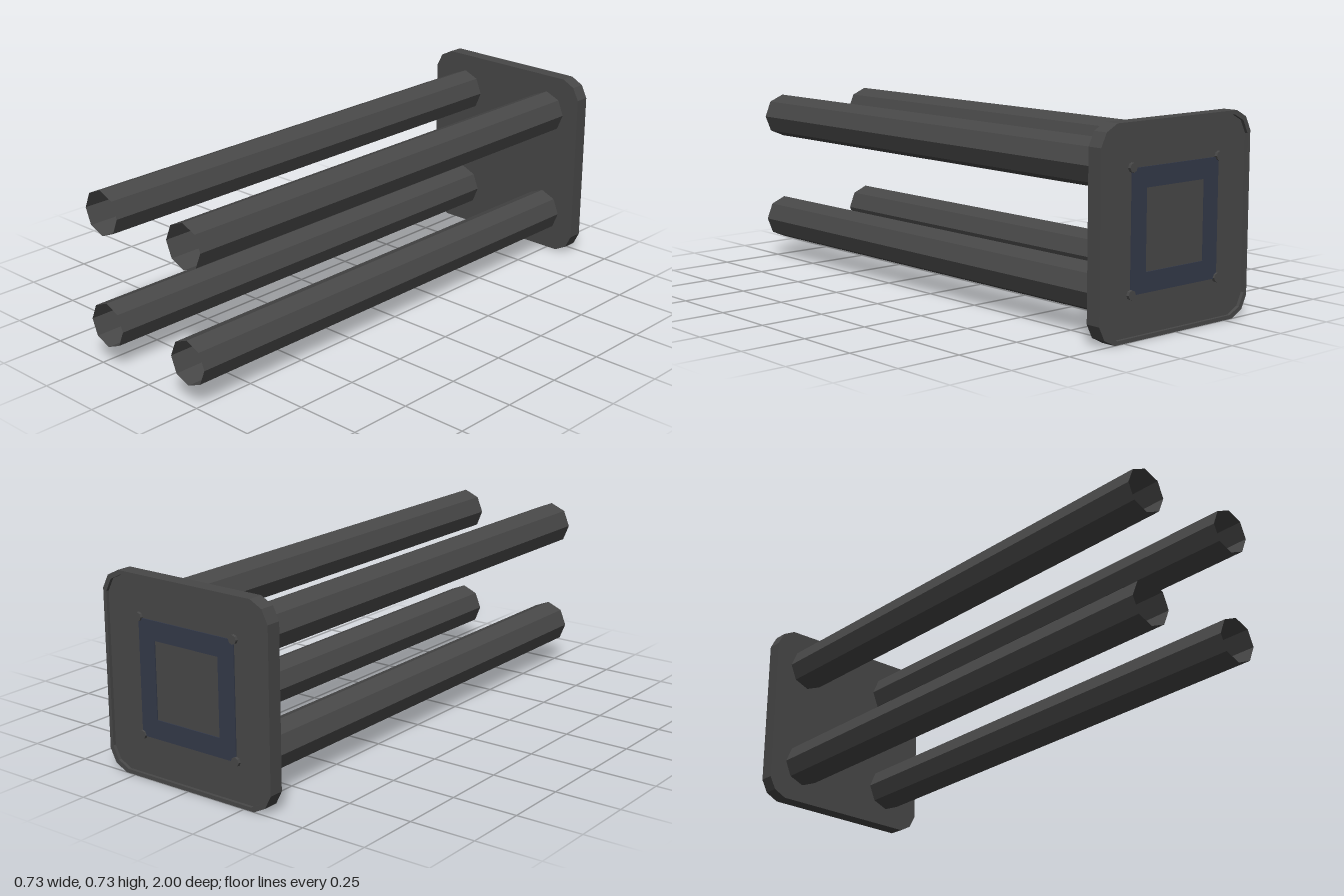
import * as THREE from 'three';

const HALF = 0.367, CY = 0.3675, SPACING = 0.2125;
const BACK = -1, FRONT = -0.943, FLOOR = -0.988;

// Outline of a square with two-step clipped corners, optionally inset
function clippedSquare(inset = 0, Type = THREE.Shape) {
  const s = (HALF - inset) / HALF;
  const corner = [[0.367, 0.293], [0.342, 0.342], [0.293, 0.367]];
  const points = [];
  for (let q = 0; q < 4; q++) {
    for (const [x, y] of corner) {
      points.push(new THREE.Vector2(x * s, y * s).rotateAround(new THREE.Vector2(), q * Math.PI / 2));
    }
  }
  return new Type(points);
}

function square(h, Type = THREE.Shape) {
  return new Type([[-h, -h], [h, -h], [h, h], [-h, h]].map(([x, y]) => new THREE.Vector2(x, y)));
}

export function createModel() {
  const group = new THREE.Group();
  const charcoal = new THREE.MeshStandardMaterial({ color: 0x484848, flatShading: true, side: THREE.DoubleSide });
  charcoal.name = 'charcoal';
  const slateBlue = new THREE.MeshStandardMaterial({ color: 0x343a4a, flatShading: true });
  slateBlue.name = 'slateBlue';

  const add = (name, geometry, material, x, y, z) => {
    const mesh = new THREE.Mesh(geometry, material);
    mesh.name = name;
    mesh.position.set(x, y, z);
    group.add(mesh);
  };
  const slab = (shape, depth) => new THREE.ExtrudeGeometry(shape, { depth, bevelEnabled: false });

  // Base plate with a shallow recess bounded by a narrow rim on its back
  add('basePlate', slab(clippedSquare(), FRONT - FLOOR), charcoal, 0, CY, FLOOR);
  const rim = clippedSquare();
  rim.holes.push(clippedSquare(0.014, THREE.Path));
  add('backRim', slab(rim, FLOOR - BACK), charcoal, 0, CY, BACK);

  // Thin square frame painted on the back
  const frame = square(SPACING);
  frame.holes.push(square(0.142, THREE.Path));
  add('backFrame', slab(frame, 0.004), slateBlue, 0, CY, FLOOR - 0.004);

  // Four open eight-sided tubes, each with a small bolt behind it
  const tube = new THREE.CylinderGeometry(0.0845, 0.0845, 1 - FRONT, 8, 1, true).rotateX(Math.PI / 2);
  const bolt = new THREE.CylinderGeometry(0.017, 0.017, 0.012, 8).rotateX(Math.PI / 2);
  for (const sx of [-1, 1]) {
    for (const sy of [-1, 1]) {
      const label = (sy > 0 ? 'upper' : 'lower') + (sx > 0 ? 'Left' : 'Right');
      const x = sx * SPACING, y = CY + 0.003 + sy * SPACING;
      add(label + 'Tube', tube, charcoal, x, y, (1 + FRONT) / 2);
      add(label + 'Bolt', bolt, charcoal, x, y, FLOOR - 0.005);
    }
  }
  return group;
}
